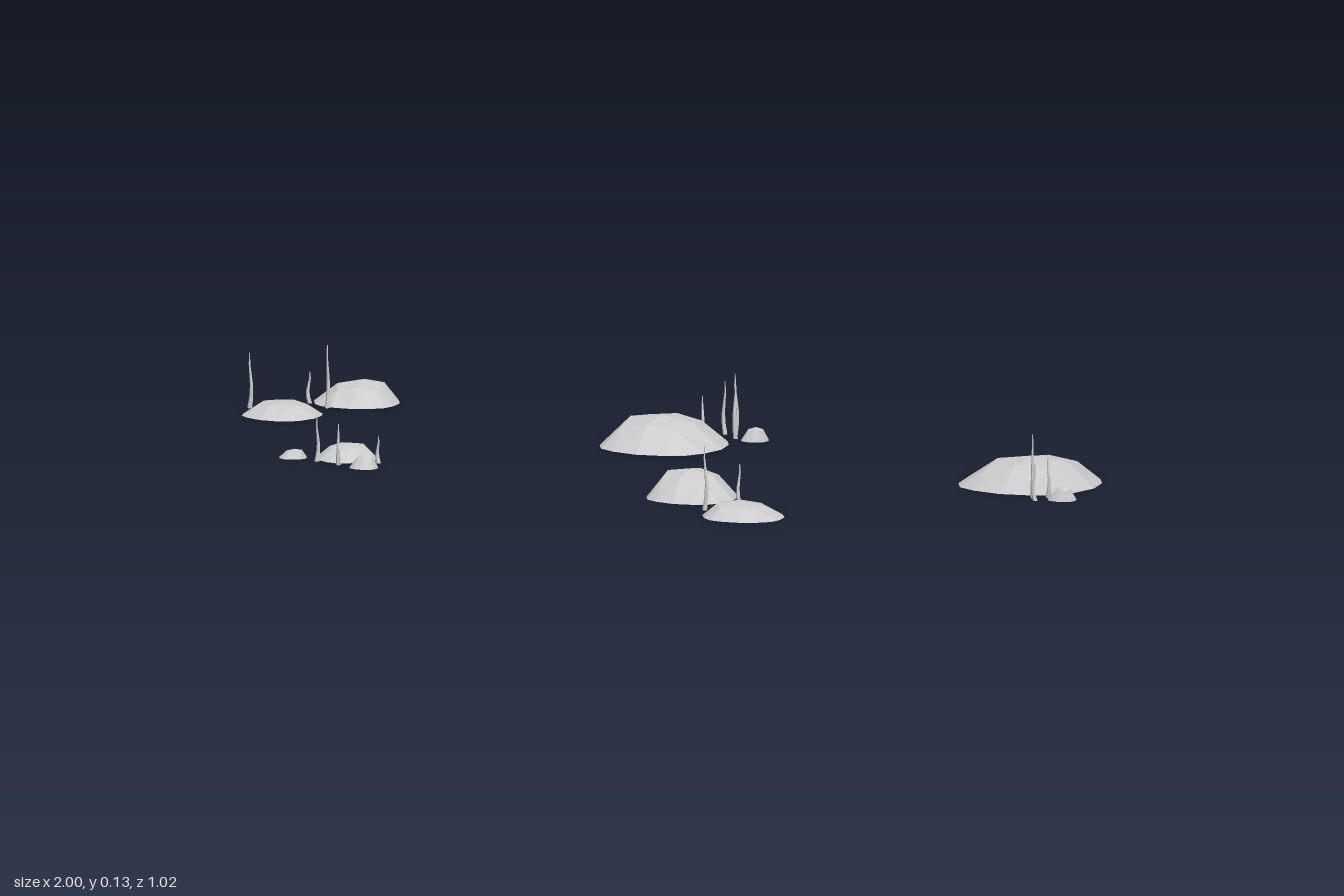
import * as THREE from 'three';

const material = new THREE.MeshStandardMaterial({ color: 0xcccccc, flatShading: true, side: THREE.DoubleSide });

// x, z, radius x, radius z, height, turn in degrees (steep corner faces +x +z at 0)
const ROCKS = [
  [-0.83, -0.43, 0.09, 0.083, 0.045, 105],
  [-0.90, -0.228, 0.08, 0.078, 0.027, 170],
  [-0.045, -0.255, 0.13, 0.13, 0.06, 180],
  [0.097, -0.385, 0.029, 0.028, 0.028, 10],
  [0.823, -0.182, 0.145, 0.143, 0.06, 0],
  [0.968, -0.035, 0.03, 0.026, 0.028, 0],
  [-0.557, 0.17, 0.062, 0.063, 0.03, 140],
  [-0.66, 0.21, 0.029, 0.029, 0.018, 30],
  [-0.477, 0.255, 0.03, 0.027, 0.027, 100],
  [0.277, 0.27, 0.093, 0.09, 0.058, 180],
  [0.47, 0.425, 0.086, 0.078, 0.029, 200],
];

// x, z, height
const BLADES = [
  [-0.995, -0.27, 0.115], [-0.91, -0.375, 0.065], [-0.853, -0.34, 0.13],
  [-0.027, -0.395, 0.08], [0.012, -0.42, 0.11], [0.04, -0.41, 0.13], [0.053, -0.385, 0.125],
  [0.905, -0.027, 0.132], [0.93, -0.047, 0.09], [0.924, 0.0, 0.075],
  [-0.595, 0.232, 0.09], [-0.537, 0.25, 0.085], [-0.472, 0.197, 0.055],
  [0.368, 0.397, 0.133], [0.405, 0.31, 0.085],
];

// Faceted hollow dome: a 4 x 4 grid rounded into a disc and raised ring by ring
function makeRock([x, z, rx, rz, h, turn]) {
  const geo = new THREE.PlaneGeometry(2, 2, 4, 4).rotateX(-Math.PI / 2);
  const p = geo.attributes.position;
  for (let i = 0; i < p.count; i++) {
    const u = p.getX(i), v = p.getZ(i);
    const m = Math.max(Math.abs(u), Math.abs(v));
    const len = Math.hypot(u, v) || 1;
    const rim = m > 0.9;
    const round = THREE.MathUtils.lerp(1, m / len, rim ? 0.88 : 0.5);
    const scale = round * (rim ? 1 : 1.1);
    const shift = rim ? 0 : 0.08;
    const y = rim ? 0 : m > 0.1 ? 0.84 - 0.12 * (len - 0.5) / 0.2 + 0.06 * (u + v) : 1;
    p.setXYZ(i, u * scale + shift, y, v * scale + shift);
  }
  geo.rotateY(THREE.MathUtils.degToRad(turn));
  geo.scale(rx, h, rz);
  geo.computeVertexNormals();
  const mesh = new THREE.Mesh(geo, material);
  mesh.position.set(x, 0, z);
  return mesh;
}

// Thin tapering blade with a gentle sway, a little different for each
function makeBlade([x, z, h], index) {
  const geo = new THREE.CylinderGeometry(0.001, 0.0055, h, 4, 5, true).translate(0, h / 2, 0);
  const p = geo.attributes.position;
  const dir = index * 2.4;
  for (let i = 0; i < p.count; i++) {
    const t = p.getY(i) / h;
    const sway = 0.004 * Math.sin(t * 5) + 0.004 * t * t;
    p.setX(i, p.getX(i) + Math.cos(dir) * sway);
    p.setZ(i, p.getZ(i) + Math.sin(dir) * sway);
  }
  geo.computeVertexNormals();
  const mesh = new THREE.Mesh(geo, material);
  mesh.position.set(x, 0, z);
  return mesh;
}

export function createModel() {
  const model = new THREE.Group();
  model.name = 'rocksAndGrass';

  const rocks = new THREE.Group();
  rocks.name = 'rocks';
  ROCKS.forEach((r, i) => {
    const rock = makeRock(r);
    rock.name = `rock${i + 1}`;
    rocks.add(rock);
  });

  const grass = new THREE.Group();
  grass.name = 'grass';
  BLADES.forEach((b, i) => {
    const blade = makeBlade(b, i);
    blade.name = `grassBlade${i + 1}`;
    grass.add(blade);
  });

  model.add(rocks, grass);
  return model;
}
